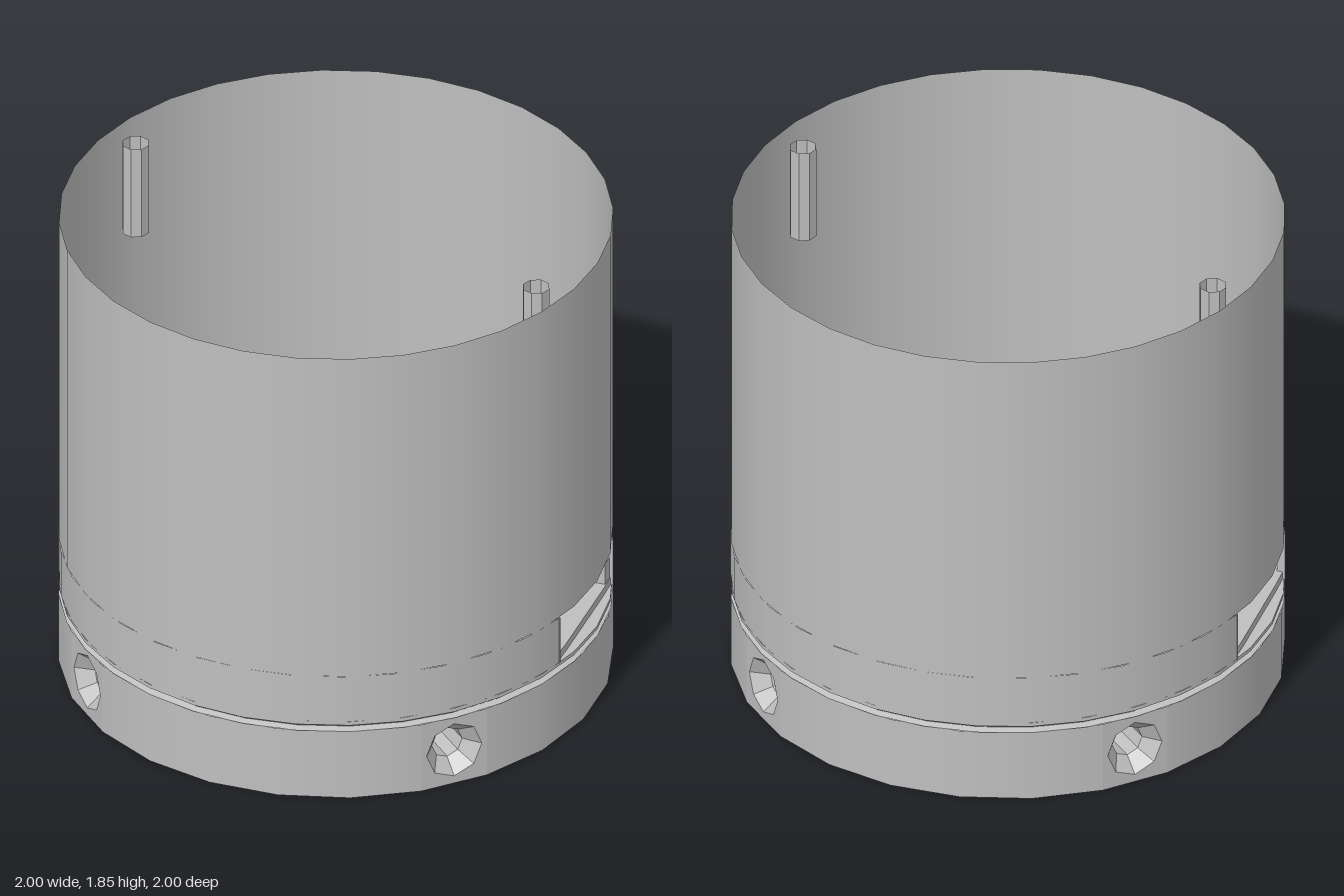
import * as THREE from 'three';

const deg = Math.PI / 180;

export function createModel() {
  const root = new THREE.Group();
  const grey = new THREE.MeshStandardMaterial({ color: 0xbfbfbf, side: THREE.DoubleSide });
  grey.name = 'grey';

  const add = (name, geometry, x = 0, y = 0, z = 0, parent = root) => {
    const mesh = new THREE.Mesh(geometry, grey);
    mesh.name = name;
    mesh.position.set(x, y, z);
    parent.add(mesh);
    return mesh;
  };
  // open band of a cylinder between two heights
  const band = (name, r, y0, y1, segs, start = 0, length = 360, rTop = r) =>
    add(name, new THREE.CylinderGeometry(rTop, r, y1 - y0, segs, 1, true, start * deg, length * deg), 0, (y0 + y1) / 2);
  // faceted recess, opening at y = 0 and sinking to -y
  const recess = (points, segs) => {
    const g = new THREE.LatheGeometry(points.map(p => new THREE.Vector2(...p)), segs).toNonIndexed();
    g.computeVertexNormals();
    return g;
  };
  const circle = (r, segs, cx = 0, cy = 0, start = 0) => Array.from({ length: segs }, (_, i) => {
    const a = start + i / segs * Math.PI * 2;
    return new THREE.Vector2(cx + r * Math.cos(a), cy + r * Math.sin(a));
  });

  // base ring: four arcs joined by flat facets with countersunk screw holes
  const R = 1, baseTop = 0.28, holeY = 0.14;
  const half = R * Math.sin(7.5 * deg), flat = R * Math.cos(7.5 * deg);
  for (let i = 0; i < 4; i++) {
    const a = 45 + i * 90;
    band('baseWall', R, 0, baseTop, 5, a + 7.5, 75);
    const group = new THREE.Group();
    group.name = 'screwHole';
    group.rotation.y = a * deg;
    root.add(group);
    const facet = new THREE.Shape([[-half, 0], [half, 0], [half, baseTop], [-half, baseTop]].map(p => new THREE.Vector2(...p)));
    facet.holes.push(new THREE.Path(circle(0.11, 8, 0, holeY)));
    add('screwFacet', new THREE.ShapeGeometry(facet), 0, 0, flat, group);
    const sink = recess([[0.11, 0], [0.06, -0.06], [0.06, -0.2], [0, -0.2]], 8);
    add('countersink', sink, 0, holeY, flat, group).rotation.x = Math.PI / 2;
  }

  // underside with six small blind holes
  const bottom = new THREE.Shape(circle(R, 24, 0, 0, 7.5 * deg));
  for (let i = 0; i < 6; i++) {
    const a = (-50 + i * 60) * deg, x = 0.465 * Math.cos(a), z = 0.465 * Math.sin(a);
    bottom.holes.push(new THREE.Path(circle(0.055, 8, x, z)));
    add('bottomHole', recess([[0.055, 0], [0.055, -0.08], [0, -0.08]], 8), x, 0, z).rotation.x = Math.PI;
  }
  add('underside', new THREE.ShapeGeometry(bottom).rotateX(Math.PI / 2).scale(1, 1, 1));

  // shallow groove between base and can
  const wallR = 0.998;
  band('grooveLower', R, 0.28, 0.288, 32, 0, 360, 0.975);
  band('grooveUpper', 0.975, 0.288, 0.305, 32, 0, 360, wallR);
  band('sill', wallR, 0.305, 0.32, 32);
  add('sillTop', new THREE.CircleGeometry(wallR, 32).rotateX(-Math.PI / 2), 0, 0.32);

  // can wall, open at the top, with a window on each side
  const win = Math.asin(0.285 / wallR) / deg;
  band('frontWall', wallR, 0.32, 0.51, 14, -90 + win, 180 - 2 * win);
  band('backWall', wallR, 0.32, 0.51, 14, 90 + win, 180 - 2 * win);
  band('upperWall', wallR, 0.51, 1.85, 32);

  // inner floor, cut straight at the windows
  const floor = new THREE.Shape(circle(0.99, 64).map(p => p.set(THREE.MathUtils.clamp(p.x, -0.95, 0.95), p.y)));
  const slab = new THREE.ExtrudeGeometry(floor, { depth: 0.03, bevelEnabled: false }).rotateX(-Math.PI / 2);
  add('floor', slab, 0, 0.32);

  // window jambs and the small stop post
  for (const sx of [-1, 1]) for (const sz of [-1, 1])
    add('windowJamb', new THREE.BoxGeometry(0.03, 0.19, 0.006), sx * 0.942, 0.415, sz * 0.285);
  add('stopPost', new THREE.BoxGeometry(0.04, 0.115, 0.05), 0.925, 0.3775, -0.257);

  // two hollow pegs inside the rim
  for (const s of [-1, 1]) {
    const peg = recess([[0, -0.37], [0.05, -0.37], [0.05, 0]], 8);
    add('peg', peg, s * 0.845, 1.85, s * 0.225);
  }
  return root;
}
